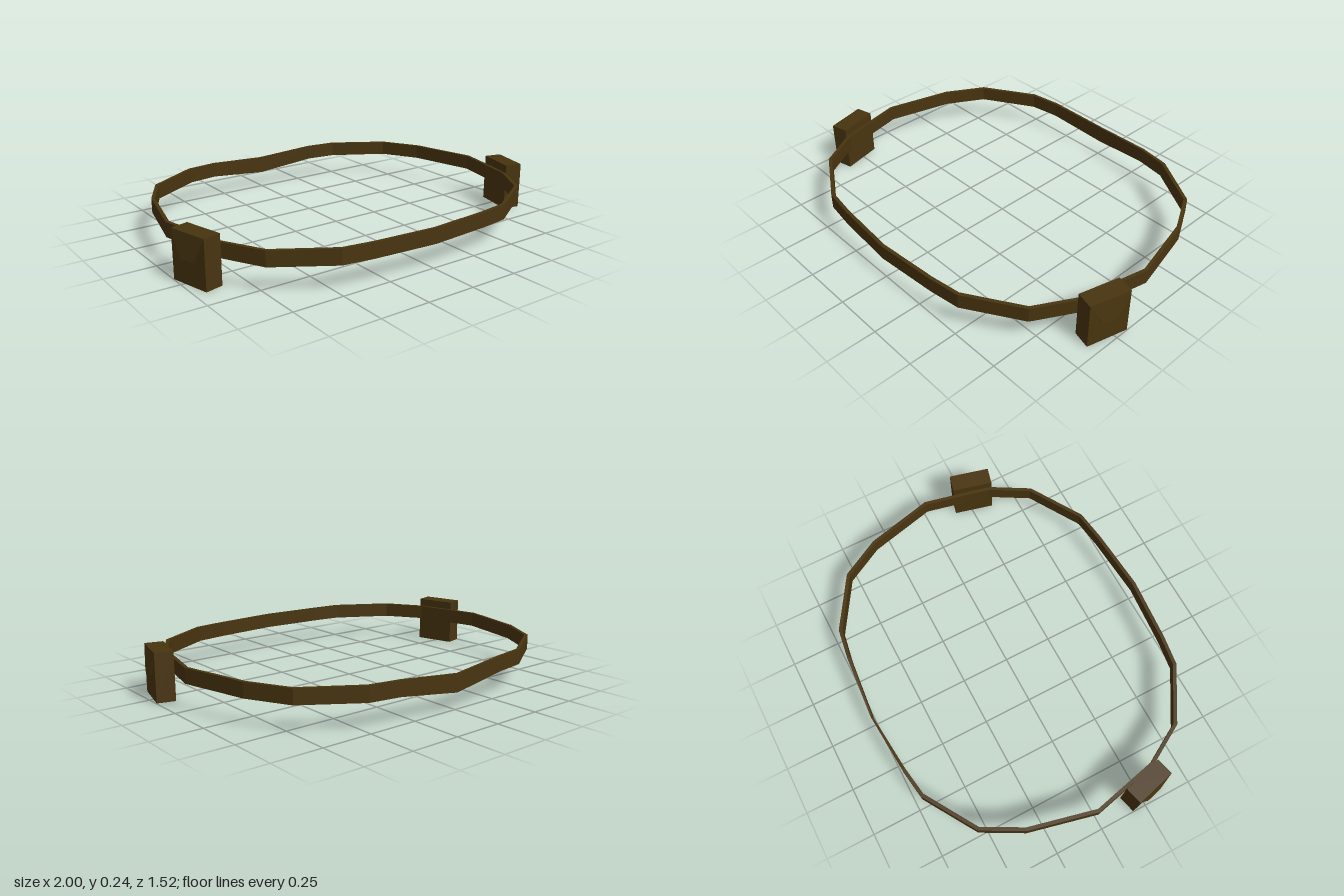
import * as THREE from 'three';
import { ConvexGeometry } from 'three/addons/geometries/ConvexGeometry.js';

const leather = new THREE.MeshStandardMaterial({ color: 0x48340f, flatShading: true });
leather.name = 'dark brown leather';

// Outer outline of one half of the belt, front centre to back centre: x, z, bottom, top, thickness
const half = [
  [0, 0.76, 0.12, 0.195, 0.018],
  [0.32, 0.735, 0.12, 0.195, 0.018],
  [0.48, 0.712, 0.12, 0.196, 0.018],
  [0.75, 0.548, 0.122, 0.197, 0.018],
  [0.865, 0.347, 0.125, 0.199, 0.018],
  [0.942, 0, 0.126, 0.2, 0.018],
  [0.858, -0.347, 0.126, 0.199, 0.018],
  [0.748, -0.548, 0.124, 0.197, 0.018],
  [0.48, -0.714, 0.121, 0.196, 0.018],
  [0.32, -0.738, 0.12, 0.195, 0.016],
  [0, -0.762, 0.083, 0.172, 0.01],
];

// Thin rectangular strap swept around the closed outline
function beltGeometry() {
  const mirrored = half.slice(1, -1).reverse().map(([x, ...rest]) => [-x, ...rest]);
  const ring = [...half, ...mirrored];
  const n = ring.length;
  const sections = ring.map(([x, z, bottom, top, t], i) => {
    const a = ring[(i + n - 1) % n], b = ring[(i + 1) % n];
    const dx = b[0] - a[0], dz = b[1] - a[1], len = Math.hypot(dx, dz);
    const ix = x + (dz / len) * t, iz = z - (dx / len) * t;
    return [[x, bottom, z], [x, top, z], [ix, top, iz], [ix, bottom, iz]];
  });
  const pos = [];
  sections.forEach((cur, i) => {
    const next = sections[(i + 1) % n];
    for (let k = 0; k < 4; k++) {
      const m = (k + 1) % 4;
      pos.push(...cur[k], ...next[k], ...next[m], ...cur[k], ...next[m], ...cur[m]);
    }
  });
  const g = new THREE.BufferGeometry();
  g.setAttribute('position', new THREE.Float32BufferAttribute(pos, 3));
  g.computeVertexNormals();
  return g;
}

// Box pouch with a wedge flap; local +x points away from the belt
function pouch(name) {
  const g = new THREE.Group();
  g.name = name;
  const body = new THREE.Mesh(new THREE.BoxGeometry(0.09, 0.24, 0.21), leather);
  body.name = 'pouchBody';
  body.position.y = 0.12;
  const corners = [];
  for (const s of [-1, 1]) {
    corners.push(
      new THREE.Vector3(0.045, 0.24, s * 0.105),
      new THREE.Vector3(0.044, 0.12, s * 0.04),
      new THREE.Vector3(0.06, 0.12, s * 0.04),
    );
  }
  const flap = new THREE.Mesh(new ConvexGeometry(corners), leather);
  flap.name = 'pouchFlap';
  g.add(body, flap);
  return g;
}

export function createModel() {
  const model = new THREE.Group();
  model.name = 'beltWithPouches';

  const belt = new THREE.Mesh(beltGeometry(), leather);
  belt.name = 'belt';
  model.add(belt);

  // One pouch on each hip, turned to follow the belt
  const left = pouch('leftPouch');
  left.position.set(0.928, 0, 0.272);
  left.rotation.y = -0.25;
  const right = pouch('rightPouch');
  right.position.set(-0.928, 0, 0.272);
  right.rotation.y = Math.PI + 0.25;
  model.add(left, right);
  return model;
}
